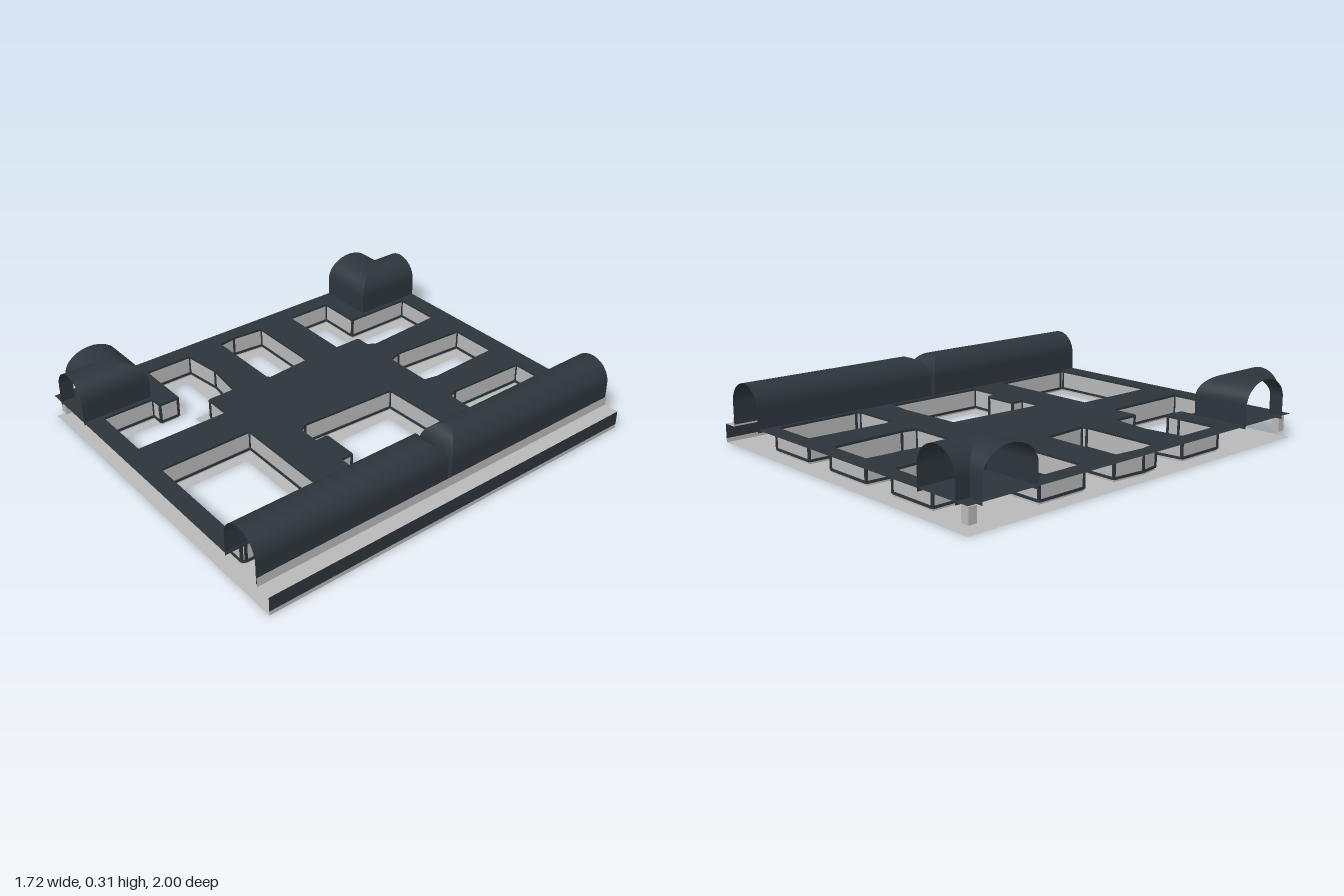
import * as THREE from 'three';

const DARK = new THREE.MeshStandardMaterial({ color: 0x2c353b, side: THREE.DoubleSide });
DARK.name = 'dark slate';
const GREY = new THREE.MeshStandardMaterial({ color: 0xb8b8b8, side: THREE.DoubleSide });
GREY.name = 'light grey';

const DECK_Y = 0.115;

// Outlines as [x, z] corners: a rectangle, and an L with its foot towards the middle
const rect = (x0, x1, z0, z1) => [[x0, z0], [x1, z0], [x1, z1], [x0, z1]];
function ell(right, bend, near, side) {
  const far = -0.86, a = -0.72, b = -0.5, c = -0.43;
  const pts = [[b, far], [right, far], [right, bend], [c, bend], [c, near], [a, near], [a, bend], [b, bend]];
  return side < 0 ? pts : pts.map(([x, z]) => [x, -z]).reverse();
}

// Deck outline: the floor opening grown outwards, with extra points after some corners
function grow(pts, extra) {
  const n = pts.length;
  return pts.flatMap(([x, z], i) => {
    const [px, pz] = pts[(i + n - 1) % n];
    const [qx, qz] = pts[(i + 1) % n];
    const dx = Math.sign(z - pz) + Math.sign(qz - z);
    const dz = -Math.sign(x - px) - Math.sign(qx - x);
    return [[x + 0.055 * dx, z + 0.055 * dz], ...(extra[i] ?? [])];
  });
}

function makePits() {
  const make = (floor, extra) => ({ floor, top: grow(floor, extra) });
  return [
    make(ell(-0.36, -0.51, -0.37, -1), { 1: [[-0.28, -0.5]] }),
    make(rect(-0.07, 0.07, -0.86, -0.51), { 1: [[0.14, -0.53]], 3: [[-0.15, -0.53]] }),
    make(rect(0.35, 0.5, -0.86, -0.51), { 1: [[0.56, -0.48]], 3: [[0.28, -0.51]] }),
    make(rect(-0.72, -0.43, -0.08, 0.07), { 1: [[-0.355, 0.11]], 3: [[-0.79, 0.03]] }),
    make(rect(0.14, 0.5, -0.22, 0.21), {
      0: [[0.43, -0.29]],
      2: [[0.37, 0.265], [0.37, 0.2], [0.2, 0.2], [0.2, 0.265]],
      3: [[0.06, 0.22]],
    }),
    make(ell(-0.29, -0.5, -0.36, 1), {
      2: [[-0.58, 0.28]],
      7: [[-0.555, 0.65], [-0.49, 0.65], [-0.49, 0.555]],
    }),
    make(rect(0, 0.5, 0.5, 0.86), { 1: [[0.565, 0.9]] }),
  ];
}

function add(parent, name, geometry, material) {
  const mesh = new THREE.Mesh(geometry, material);
  mesh.name = name;
  parent.add(mesh);
  return mesh;
}

// Horizontal sheet with holes
function sheet(outline, holes, y) {
  const toPoints = (pts) => pts.map(([x, z]) => new THREE.Vector2(x, -z));
  const shape = new THREE.Shape(toPoints(outline));
  holes.forEach((h) => shape.holes.push(new THREE.Path(toPoints(h))));
  return new THREE.ShapeGeometry(shape).rotateX(-Math.PI / 2).translate(0, y, 0);
}

// Smooth surface joining two rows of points; flip reverses the facing
function strip(a, b, flip) {
  const index = [];
  for (let i = 0; i < a.length - 1; i++) {
    const p = i, q = i + 1, r = a.length + i, s = r + 1;
    if (flip) index.push(p, r, q, q, r, s);
    else index.push(p, q, r, q, s, r);
  }
  const g = new THREE.BufferGeometry();
  g.setAttribute('position', new THREE.Float32BufferAttribute([...a, ...b].flat(), 3));
  g.setIndex(index);
  g.computeVertexNormals();
  return g;
}

// Arch profile: u runs -1..1 across, y is the height
const R = 0.105, SPRING = 0.205, BASE = 0.1, STEPS = 20;
const ARCH = [{ u: -1, y: BASE }];
for (let i = 0; i <= STEPS; i++) {
  const a = Math.PI * (1 - i / STEPS);
  ARCH.push({ u: Math.cos(a), y: SPRING + R * Math.sin(a) });
}
ARCH.push({ u: 1, y: BASE });

// Long vault, open at the outer end and hipped at the inner end
function longVault(parent, side) {
  const g = new THREE.Group();
  g.name = side > 0 ? 'frontLongVault' : 'backLongVault';
  const outer = ARCH.map(({ u, y }) => [0.675 + R * u, y, side]);
  const inner = ARCH.map(({ u, y }) => [0.675 + R * u, y, side * (0.012 + 0.09 * (1 - Math.abs(u)))]);
  add(g, 'vaultRoof', strip(outer, inner, side > 0), DARK);
  const half = Math.ceil(ARCH.length / 2);
  const left = inner.slice(0, half);
  const right = inner.slice(-half).reverse();
  add(g, 'vaultHipEnd', strip(left, right, side > 0), DARK);
  parent.add(g);
}

// Corner vault: two arched arms meeting at a mitre
function cornerVault(parent, side) {
  const g = new THREE.Group();
  g.name = side > 0 ? 'frontCornerVault' : 'backCornerVault';
  const xAt = (u) => -0.68 + 0.11 * u;
  const zAt = (u) => side * (0.79 - 0.14 * u);
  const endZ = ARCH.map(({ u, y }) => [xAt(u), y, side]);
  const mitre = ARCH.map(({ u, y }) => [xAt(u), y, zAt(u)]);
  const endX = ARCH.map(({ u, y }) => [-0.86, y, zAt(u)]);
  add(g, 'vaultArmLengthwise', strip(endZ, mitre, side > 0), DARK);
  add(g, 'vaultArmCrosswise', strip(mitre, endX, side > 0), DARK);
  parent.add(g);
}

// Pit: grey side walls with dark edging along the rims and corners
function pit(parent, outline, number) {
  const g = new THREE.Group();
  g.name = 'pit' + number;
  const t = 0.011;
  outline.forEach(([x0, z0], i) => {
    const [x1, z1] = outline[(i + 1) % outline.length];
    const length = Math.hypot(x1 - x0, z1 - z0);
    const place = (mesh, y) => {
      mesh.position.set((x0 + x1) / 2, y, (z0 + z1) / 2);
      mesh.rotation.y = -Math.atan2(z1 - z0, x1 - x0);
    };
    place(add(g, 'pitWall', new THREE.PlaneGeometry(length, DECK_Y), GREY), DECK_Y / 2);
    for (const y of [0.015, DECK_Y - t / 2]) {
      place(add(g, 'pitRimTrim', new THREE.BoxGeometry(length, t, t), DARK), y);
    }
    add(g, 'pitCornerTrim', new THREE.BoxGeometry(t, DECK_Y - 0.015, t), DARK)
      .position.set(x0, DECK_Y / 2 + 0.005, z0);
  });
  parent.add(g);
}

export function createModel() {
  const model = new THREE.Group();
  model.name = 'floorModule';

  // Floor and raised deck
  const pits = makePits();
  add(model, 'floor', sheet(rect(-0.86, 0.86, -1, 1), pits.map((p) => p.floor), 0), GREY);
  add(model, 'deck', sheet(rect(-0.86, 0.575, -1, 1), pits.map((p) => p.top), DECK_Y), DARK);
  pits.forEach((p, i) => pit(model, p.top, i + 1));

  // Side ledge beside the long vaults
  const upright = (name, x, y0, y1, mat) => add(model, name,
    new THREE.PlaneGeometry(2, y1 - y0).rotateY(Math.PI / 2).translate(x, (y0 + y1) / 2, 0), mat);
  upright('ledgeFoot', 0.86, 0, 0.02, GREY);
  upright('ledgeOuterWall', 0.86, 0.02, 0.09, DARK);
  upright('ledgeInnerWall', 0.785, 0.09, 0.135, GREY);
  add(model, 'ledgeTop', sheet(rect(0.785, 0.86, -1, 1), [], 0.09), GREY);

  // Vaults and the small posts under the free corners
  for (const side of [1, -1]) {
    longVault(model, side);
    cornerVault(model, side);
    add(model, 'cornerPost', new THREE.BoxGeometry(0.04, 0.07, 0.04), GREY)
      .position.set(-0.82, 0.067, side * 0.96);
  }
  return model;
}
